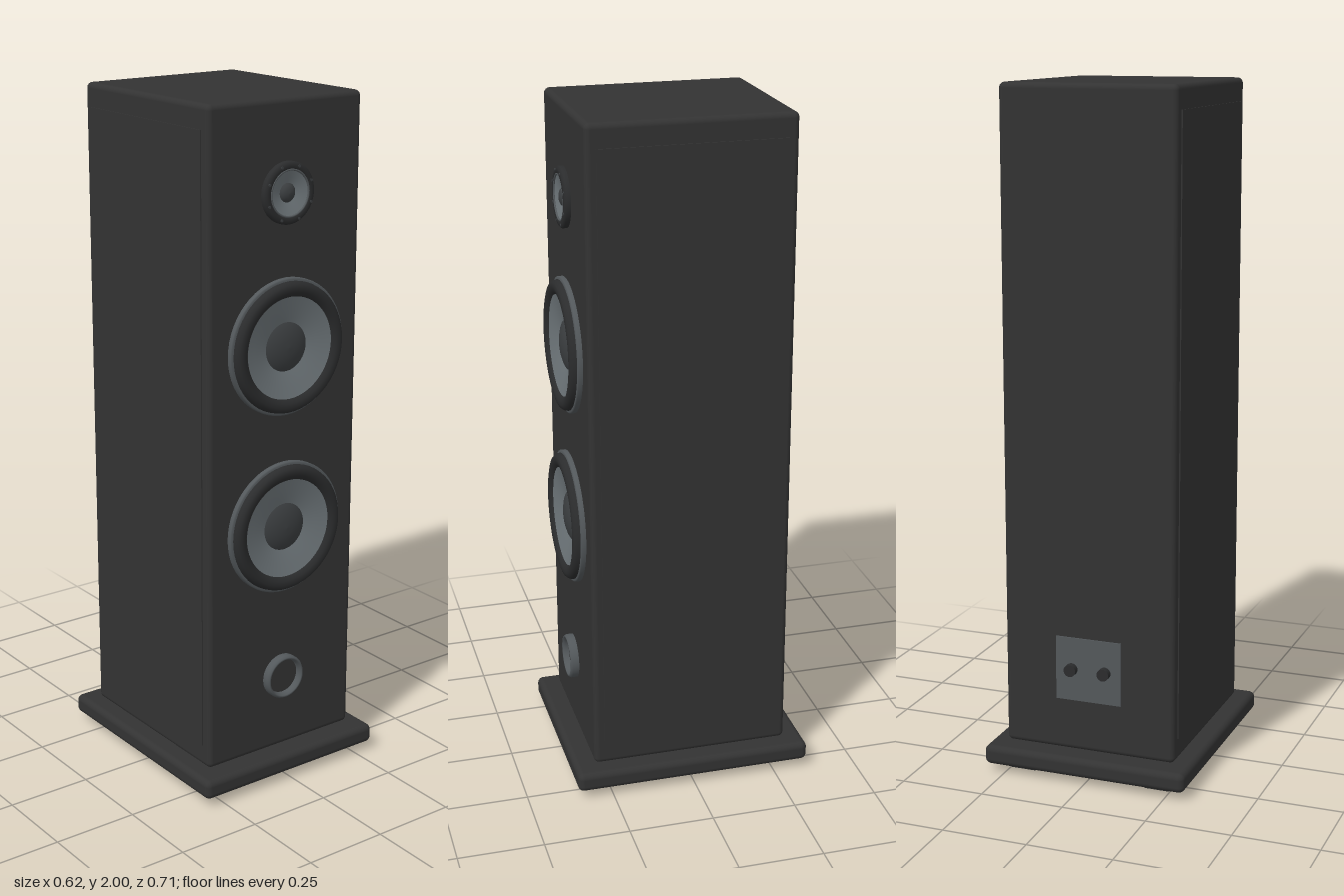
import * as THREE from 'three';
import { RoundedBoxGeometry } from 'three/addons/geometries/RoundedBoxGeometry.js';

const mat = (name, color, side = THREE.FrontSide) => {
  const m = new THREE.MeshStandardMaterial({ color, side });
  m.name = name;
  return m;
};

export function createModel() {
  const black = mat('cabinet black', 0x333333);
  const rubber = mat('rubber black', 0x2b2c2d, THREE.DoubleSide);
  const metal = mat('trim grey', 0x53585b, THREE.DoubleSide);
  const coneGrey = mat('cone grey', 0x6e767a, THREE.DoubleSide);
  const capGrey = mat('dust cap grey', 0x3c3f41, THREE.DoubleSide);
  const model = new THREE.Group();
  const FRONT = 0.295;

  const add = (parent, name, geometry, material, x = 0, y = 0, z = 0) => {
    const mesh = new THREE.Mesh(geometry, material);
    mesh.name = name;
    mesh.position.set(x, y, z);
    parent.add(mesh);
    return mesh;
  };
  // Round parts: profile points are [radius, distance in front of the baffle]
  const turned = (parent, name, points, material) => {
    const profile = points.map(([r, d]) => new THREE.Vector2(r, d));
    const g = new THREE.LatheGeometry(profile, 56).rotateX(Math.PI / 2);
    return add(parent, name, g, material);
  };
  const ring = (parent, name, radius, tube, depth, material) =>
    add(parent, name, new THREE.TorusGeometry(radius, tube, 12, 56), material, 0, 0, depth);
  const unit = (name, y) => {
    const g = new THREE.Group();
    g.name = name;
    g.position.set(0, y, FRONT);
    model.add(g);
    return g;
  };

  // Cabinet, side panels and plinth
  add(model, 'cabinet', new RoundedBoxGeometry(0.522, 1.915, 0.59, 4, 0.016), black, 0, 1.0425, 0);
  for (const s of [-1, 1]) {
    add(model, 'sidePanel', new THREE.BoxGeometry(0.008, 1.78, 0.53), black, s * 0.2605, 1.0425, 0);
  }
  add(model, 'plinth', new RoundedBoxGeometry(0.62, 0.058, 0.71, 4, 0.018), black, 0, 0.053, 0);
  for (const x of [-0.21, 0.21]) for (const z of [-0.245, 0.245]) {
    add(model, 'foot', new THREE.BoxGeometry(0.076, 0.03, 0.1), rubber, x, 0.015, z);
  }

  // Two woofers
  for (const y of [1.315, 0.783]) {
    const w = unit('woofer', y);
    turned(w, 'wooferFrame', [[0.196, 0], [0.196, 0.012], [0.192, 0.015], [0.184, 0.015]], metal);
    turned(w, 'wooferSurround', [[0.188, 0.013], [0.186, 0.024], [0.18, 0.032], [0.17, 0.035],
      [0.158, 0.033], [0.149, 0.026], [0.144, 0.02]], rubber);
    turned(w, 'wooferCone', [[0.146, 0.024], [0.12, 0.018], [0.09, 0.011], [0.068, 0.005]], coneGrey);
    turned(w, 'dustCap', [[0.071, 0.005], [0.06, 0.011], [0.04, 0.017], [0.02, 0.02], [0, 0.021]], capGrey);
  }

  // Tweeter with a ring of small screws
  const t = unit('tweeter', 1.745);
  turned(t, 'tweeterFrame', [[0.086, 0], [0.086, 0.012], [0.08, 0.018], [0.068, 0.019], [0.061, 0.012]], rubber);
  ring(t, 'tweeterTrim', 0.064, 0.003, 0.016, metal);
  turned(t, 'tweeterCone', [[0.063, 0.015], [0.045, 0.01], [0.025, 0.004]], coneGrey);
  turned(t, 'tweeterDome', [[0.027, 0.004], [0.021, 0.011], [0.011, 0.015], [0, 0.016]], capGrey);
  for (let i = 0; i < 8; i++) {
    const a = (i + 0.5) * Math.PI / 4;
    const screw = new THREE.CylinderGeometry(0.004, 0.004, 0.004, 10).rotateX(Math.PI / 2);
    add(t, 'screw', screw, capGrey, Math.cos(a) * 0.077, Math.sin(a) * 0.077, 0.018);
  }

  // Bass port
  const p = unit('bassPort', 0.315);
  turned(p, 'portRim', [[0.066, 0], [0.066, 0.018], [0.062, 0.025], [0.057, 0.025], [0.053, 0.016], [0.052, 0.003]], metal);
  add(p, 'portOpening', new THREE.CircleGeometry(0.055, 48), black, 0, 0, 0.006);

  // Terminal plate and binding posts on the back
  add(model, 'terminalPlate', new THREE.BoxGeometry(0.2, 0.19, 0.008), metal, 0, 0.335, -0.295);
  for (const x of [-0.051, 0.051]) {
    const post = new THREE.CylinderGeometry(0.018, 0.018, 0.022, 24).rotateX(Math.PI / 2);
    add(model, 'bindingPost', post, rubber, x, 0.335, -0.307);
  }
  return model;
}
